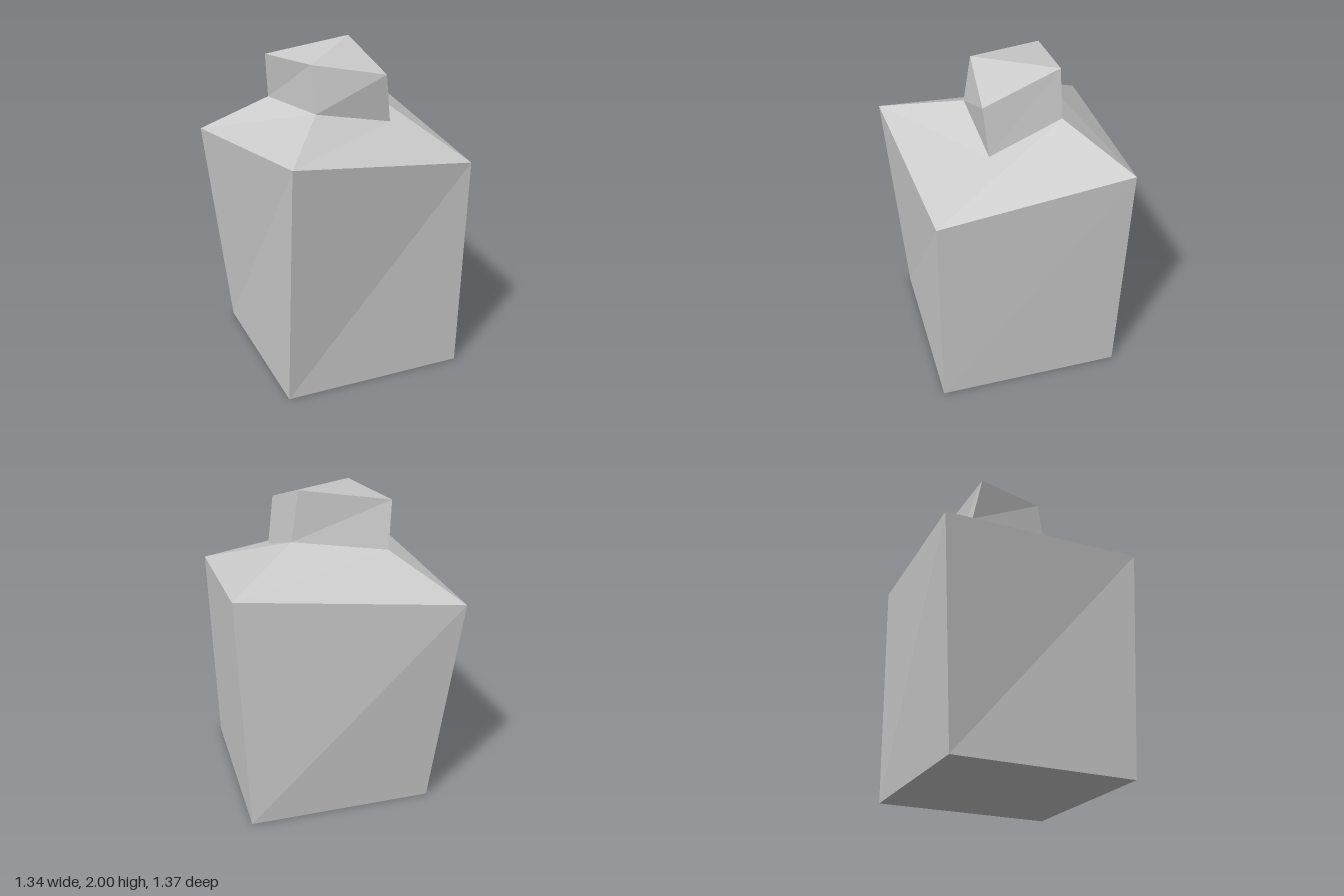
import * as THREE from 'three';

// Four-cornered rings: front left, front right, back right, back left (as seen from the front)
const base = [[-0.54, 0, 0.58], [0.61, 0, 0.58], [0.61, 0, -0.57], [-0.54, 0, -0.57]];
const shoulderRing = [[-0.53, 1.5, 0.685], [0.65, 1.35, 0.575], [0.67, 1.5, -0.58], [-0.67, 1.37, -0.685]];
const neckRing = [[-0.2, 1.645, 0.205], [0.3, 1.54, 0.18], [0.26, 1.7, -0.27], [-0.3, 1.63, -0.36]];
const topRing = [[-0.21, 1.93, 0.155], [0.26, 1.84, 0.205], [0.215, 2, -0.265], [-0.33, 1.915, -0.31]];

// Wall between two rings, each side split from lower corner to the next upper corner
function wall(lower, upper) {
  const corners = [];
  for (let i = 0; i < 4; i++) {
    const j = (i + 1) % 4;
    corners.push(lower[i], lower[j], upper[j], lower[i], upper[j], upper[i]);
  }
  return corners;
}

// Cap over one ring, split from front left to back right
function cap([a, b, c, d], facingUp) {
  return facingUp ? [a, b, c, a, c, d] : [a, c, b, a, d, c];
}

function part(name, corners, material) {
  const geometry = new THREE.BufferGeometry();
  geometry.setAttribute('position', new THREE.Float32BufferAttribute(corners.flat(), 3));
  geometry.computeVertexNormals();
  const mesh = new THREE.Mesh(geometry, material);
  mesh.name = name;
  return mesh;
}

export function createModel() {
  const model = new THREE.Group();
  model.name = 'facetedBottle';
  const grey = new THREE.MeshStandardMaterial({ color: 0xcccccc, flatShading: true });
  grey.name = 'light grey';

  model.add(
    part('body', [...wall(base, shoulderRing), ...cap(base, false)], grey),
    part('shoulder', wall(shoulderRing, neckRing), grey),
    part('neck', [...wall(neckRing, topRing), ...cap(topRing, true)], grey)
  );
  return model;
}
